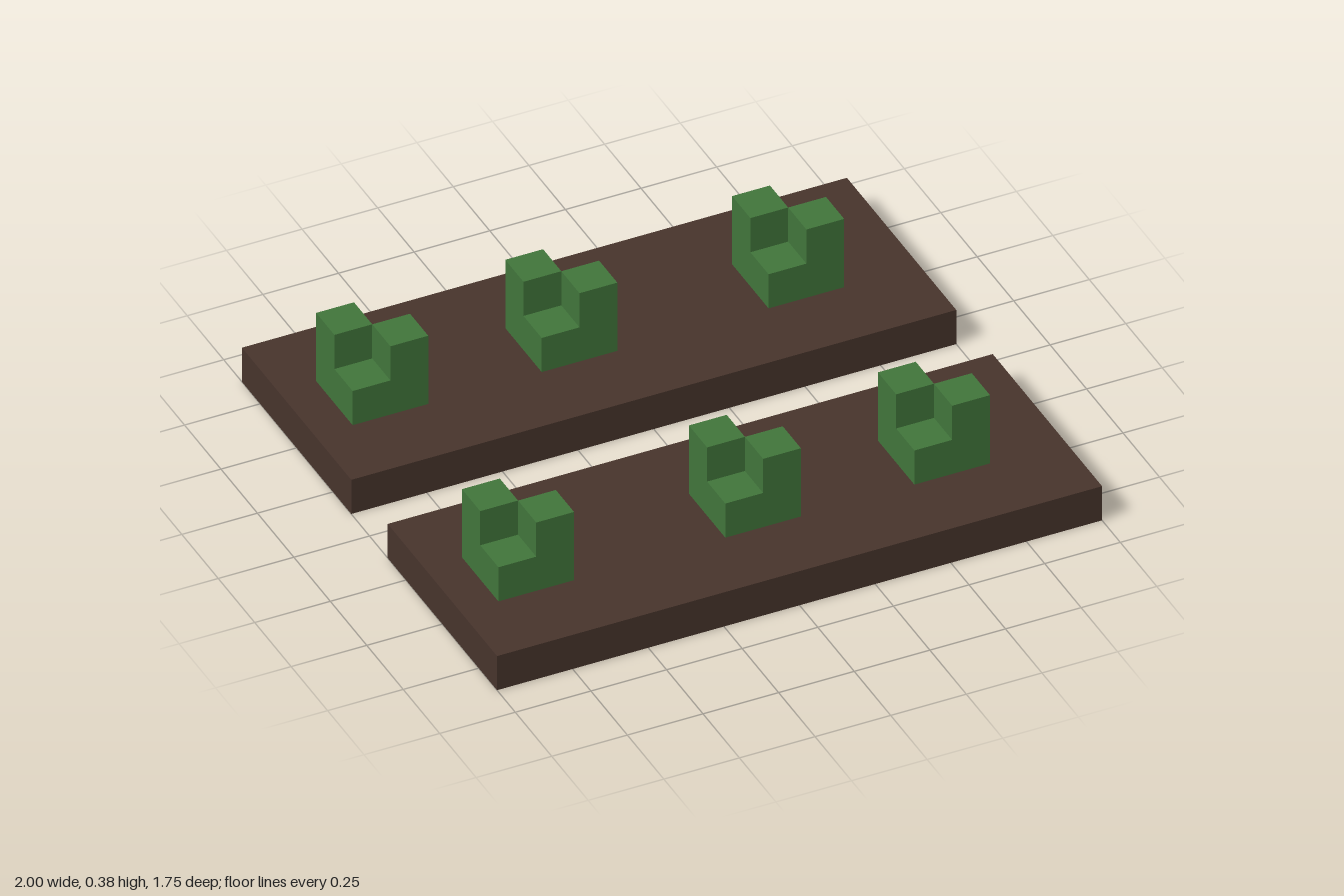
import * as THREE from 'three';

export function createModel() {
  const soil = new THREE.MeshStandardMaterial({ color: 0x47342c });
  soil.name = 'soil brown';
  const leaf = new THREE.MeshStandardMaterial({ color: 0x41753b });
  leaf.name = 'leaf green';

  const U = 0.125; // one block unit

  function box(name, material, w, h, d, x, y, z) {
    const mesh = new THREE.Mesh(new THREE.BoxGeometry(w, h, d), material);
    mesh.name = name;
    mesh.position.set(x, y + h / 2, z); // y is the underside
    return mesh;
  }

  // Square base with two taller shoots on opposite corners
  function createPlant(x, z) {
    const plant = new THREE.Group();
    plant.name = 'plant';
    plant.add(box('plantBase', leaf, 2 * U, U, 2 * U, 0, 0, 0));
    for (const s of [-1, 1]) {
      plant.add(box('plantShoot', leaf, U, U, U, s * U / 2, U, s * U / 2));
    }
    plant.position.set(x, U, z);
    return plant;
  }

  // Two garden beds, each with a row of three plants
  const beds = [
    { name: 'backBed', z: -0.5, plants: [-0.75, -0.125, 0.625] },
    { name: 'frontBed', z: 0.5, plants: [-0.75, 0, 0.625] },
  ];

  const model = new THREE.Group();
  model.name = 'gardenBeds';
  for (const { name, z, plants } of beds) {
    const bed = new THREE.Group();
    bed.name = name;
    bed.add(box('soilSlab', soil, 2, U, 0.75, 0, 0, z));
    for (const x of plants) bed.add(createPlant(x, z));
    model.add(bed);
  }
  return model;
}
